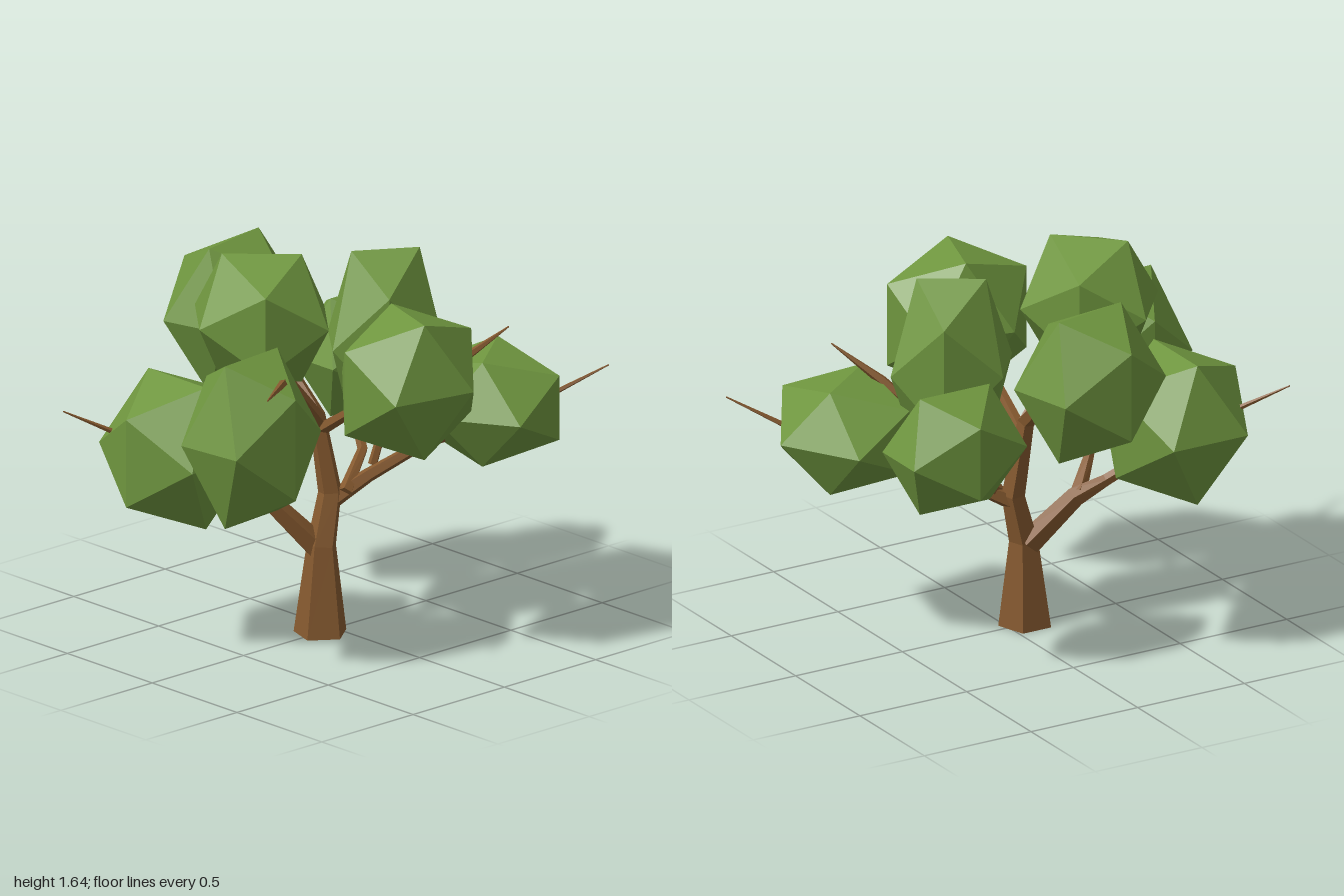
import * as THREE from 'three';

const leafMat = new THREE.MeshStandardMaterial({ color: 0x6f963f, flatShading: true });
const barkMat = new THREE.MeshStandardMaterial({ color: 0x85592f, flatShading: true });

// Faceted leaf clump: a turned icosahedron fitted to a centre and half sizes
function leafClump(name, center, half, turn) {
  const geo = new THREE.IcosahedronGeometry(1, 0).rotateY(turn);
  geo.computeBoundingBox();
  const box = geo.boundingBox.max;
  geo.scale(half[0] / box.x, half[1] / box.y, half[2] / box.z);
  geo.translate(...center);
  geo.computeVertexNormals();
  const mesh = new THREE.Mesh(geo, leafMat);
  mesh.name = name;
  return mesh;
}

// Tapered limb: rings of a few sides along points given as [x, y, z, radius]
function limb(name, points, sides = 5) {
  const centers = points.map(p => new THREE.Vector3(p[0], p[1], p[2]));
  const pos = [], idx = [];
  const n = points.length;
  centers.forEach((c, i) => {
    const dir = centers[Math.min(i + 1, n - 1)].clone().sub(centers[Math.max(i - 1, 0)]).normalize();
    if (i === 0 && c.y === 0) dir.set(0, 1, 0);
    const u = new THREE.Vector3(0, 0, 1).addScaledVector(dir, -dir.z).normalize();
    const v = dir.clone().cross(u);
    for (let s = 0; s < sides; s++) {
      const a = (s / sides) * Math.PI * 2;
      const p = c.clone()
        .addScaledVector(u, Math.cos(a) * points[i][3])
        .addScaledVector(v, Math.sin(a) * points[i][3]);
      pos.push(p.x, p.y, p.z);
    }
  });
  for (let i = 0; i < n - 1; i++) {
    for (let s = 0; s < sides; s++) {
      const a = i * sides + s, b = i * sides + (s + 1) % sides;
      idx.push(a, b, b + sides, a, b + sides, a + sides);
    }
  }
  // End caps
  for (let s = 1; s < sides - 1; s++) {
    const e = (n - 1) * sides;
    idx.push(0, s + 1, s, e, e + s, e + s + 1);
  }
  const indexed = new THREE.BufferGeometry();
  indexed.setAttribute('position', new THREE.Float32BufferAttribute(pos, 3));
  indexed.setIndex(idx);
  const geo = indexed.toNonIndexed();
  geo.computeVertexNormals();
  const mesh = new THREE.Mesh(geo, barkMat);
  mesh.name = name;
  return mesh;
}

export function createModel() {
  const tree = new THREE.Group();
  tree.name = 'tree';

  const wood = new THREE.Group();
  wood.name = 'trunkAndBranches';
  wood.add(
    limb('trunk', [[-0.08, 0, 0.005, 0.112], [-0.07, 0.37, 0, 0.062], [-0.015, 0.58, -0.01, 0.05],
      [-0.05, 0.9, -0.05, 0.036], [-0.06, 1.1, -0.25, 0.03], [-0.06, 1.25, -0.5, 0.01]]),
    // Low side limb, forking into the two left-hand clumps
    limb('lowBranch', [[-0.08, 0.36, -0.02, 0.055], [-0.24, 0.56, -0.12, 0.042],
      [-0.36, 0.62, -0.16, 0.025], [-0.65, 0.82, -0.3, 0.02], [-1, 1.02, -0.525, 0.003]]),
    limb('lowBranchFork', [[-0.25, 0.57, -0.12, 0.035], [-0.36, 0.67, -0.02, 0.022], [-0.55, 0.95, 0.15, 0.01]]),
    // Opposite limb and its forks
    limb('sideBranch', [[-0.01, 0.55, 0, 0.04], [0.14, 0.63, 0.05, 0.03], [0.36, 0.73, 0.13, 0.024],
      [0.7, 0.84, 0.33, 0.016], [1, 1.02, 0.54, 0.003]]),
    limb('sideBranchBackFork', [[0.02, 0.58, 0.04, 0.03], [0.2, 0.7, -0.05, 0.022], [0.28, 0.83, -0.2, 0.018],
      [0.45, 1, -0.35, 0.008]]),
    limb('sideBranchUpperFork', [[0.18, 0.66, 0.03, 0.02], [0.25, 0.86, 0.04, 0.018], [0.45, 1.08, 0.24, 0.022],
      [0.61, 1.23, 0.37, 0.003]]),
    // Upper limbs
    limb('upperBranch', [[-0.05, 0.88, -0.04, 0.035], [-0.26, 1.09, 0.02, 0.03], [-0.42, 1.18, 0.15, 0.024],
      [-0.6, 1.26, 0.34, 0.018], [-0.8, 1.265, 0.465, 0.003]]),
    limb('crownBranch', [[-0.24, 1.07, 0.01, 0.025], [-0.34, 1.35, -0.07, 0.008]]),
    limb('frontBranch', [[-0.04, 0.85, -0.03, 0.028], [-0.05, 1, 0.2, 0.02], [-0.05, 1.15, 0.45, 0.008]])
  );

  const leaves = new THREE.Group();
  leaves.name = 'foliage';
  leaves.add(
    leafClump('backClump', [-0.06, 1.23, -0.53], [0.3, 0.305, 0.23], 0.21),
    leafClump('backLeftClump', [0.465, 0.99, -0.35], [0.265, 0.25, 0.2], 0),
    leafClump('backRightClump', [-0.63, 0.845, -0.25], [0.28, 0.3, 0.275], Math.PI / 2),
    leafClump('frontRightClump', [-0.625, 0.995, 0.18], [0.27, 0.345, 0.235], 0.1),
    leafClump('frontLeftClump', [0.6, 0.89, 0.27], [0.315, 0.22, 0.32], 0.59),
    leafClump('frontClump', [-0.045, 1.175, 0.48], [0.29, 0.285, 0.275], 1.32),
    leafClump('topClump', [-0.33, 1.375, -0.075], [0.29, 0.27, 0.305], -0.73),
    leafClump('upperLeftClump', [0.255, 1.18, 0.025], [0.275, 0.375, 0.225], -0.62)
  );

  tree.add(wood, leaves);
  return tree;
}
